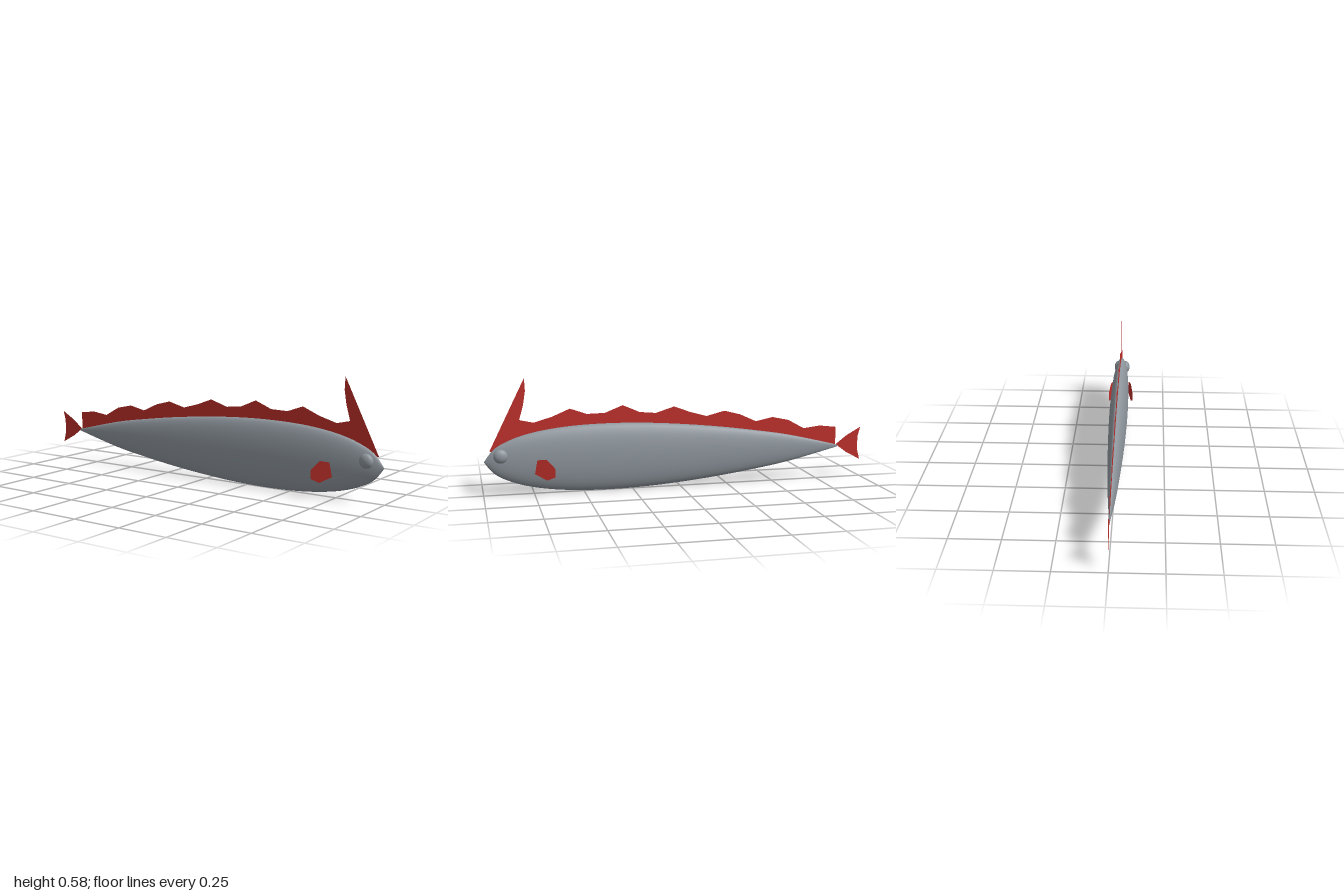
import * as THREE from 'three';

const MID_Y = 0.176; // height of the body axis

export function createModel() {
  const group = new THREE.Group();
  const silver = new THREE.MeshStandardMaterial({ color: 0x8f979e });
  silver.name = 'silver skin';
  const red = new THREE.MeshStandardMaterial({ color: 0xc0302b, side: THREE.DoubleSide });
  red.name = 'red fin';

  const add = (name, geometry, material) => {
    const mesh = new THREE.Mesh(geometry, material);
    mesh.name = name;
    group.add(mesh);
    return mesh;
  };
  const flatFin = (points) =>
    new THREE.ShapeGeometry(new THREE.Shape(points.map(([x, y]) => new THREE.Vector2(x, y))));

  // Body: smooth spindle along x, flattened sideways. Pairs are [radius, x].
  const stations = [
    [0.005, -0.87], [0.07, -0.6], [0.104, -0.4], [0.132, -0.2], [0.153, 0], [0.166, 0.18],
    [0.171, 0.36], [0.166, 0.54], [0.15, 0.69], [0.124, 0.81], [0.089, 0.9], [0.055, 0.951], [0.001, 0.993],
  ].map(([r, x]) => new THREE.Vector2(r, x));
  const profile = new THREE.SplineCurve(stations).getPoints(48);
  profile.forEach((p) => { p.x = Math.max(p.x, 0.0005); });
  profile.unshift(new THREE.Vector2(0, -0.871));
  const body = add('body', new THREE.LatheGeometry(profile, 32), silver);
  body.rotation.z = -Math.PI / 2;
  body.scale.z = 0.285;
  body.position.y = MID_Y;

  // Long wavy dorsal fin ending in a tall crest over the head
  add('dorsalFin', flatFin([
    [-0.858, 0.18], [-0.858, 0.278], [-0.767, 0.289], [-0.676, 0.278], [-0.59, 0.326],
    [-0.5, 0.345], [-0.41, 0.326], [-0.323, 0.366], [-0.238, 0.388], [-0.142, 0.364],
    [-0.056, 0.388], [0.03, 0.42], [0.126, 0.39], [0.21, 0.398], [0.297, 0.436],
    [0.388, 0.4], [0.479, 0.398], [0.564, 0.428], [0.655, 0.39], [0.746, 0.364],
    [0.815, 0.38], [0.794, 0.455], [0.783, 0.524], [0.786, 0.588], [0.965, 0.228],
    [0.9, 0.22], [0.7, 0.28], [0.36, 0.3], [0, 0.28], [-0.4, 0.23],
  ]), red);

  // Forked tail fin
  add('tailFin', flatFin([
    [-0.86, 0.183], [-0.922, 0.23], [-1, 0.273], [-0.987, 0.225],
    [-0.985, 0.184], [-0.987, 0.145], [-1, 0.096], [-0.922, 0.138],
  ]), red);

  for (const [label, side] of [['left', 1], ['right', -1]]) {
    // Side fin: flat hexagon flaring outwards towards the tail
    const fin = flatFin([
      [0.65, 0.096], [0.69, 0.08], [0.748, 0.112], [0.735, 0.182], [0.69, 0.186], [0.65, 0.14],
    ]);
    const pos = fin.attributes.position;
    for (let i = 0; i < pos.count; i++) {
      pos.setZ(i, side * (0.042 + 0.29 * (0.745 - pos.getX(i))));
    }
    fin.computeVertexNormals();
    add(label + 'SideFin', fin, red);

    // Eye: flattened ball set into the head
    const eye = add(label + 'Eye', new THREE.SphereGeometry(0.035, 24, 16), silver);
    eye.position.set(0.912, 0.205, side * 0.023);
    eye.scale.z = 0.62;
  }
  return group;
}
